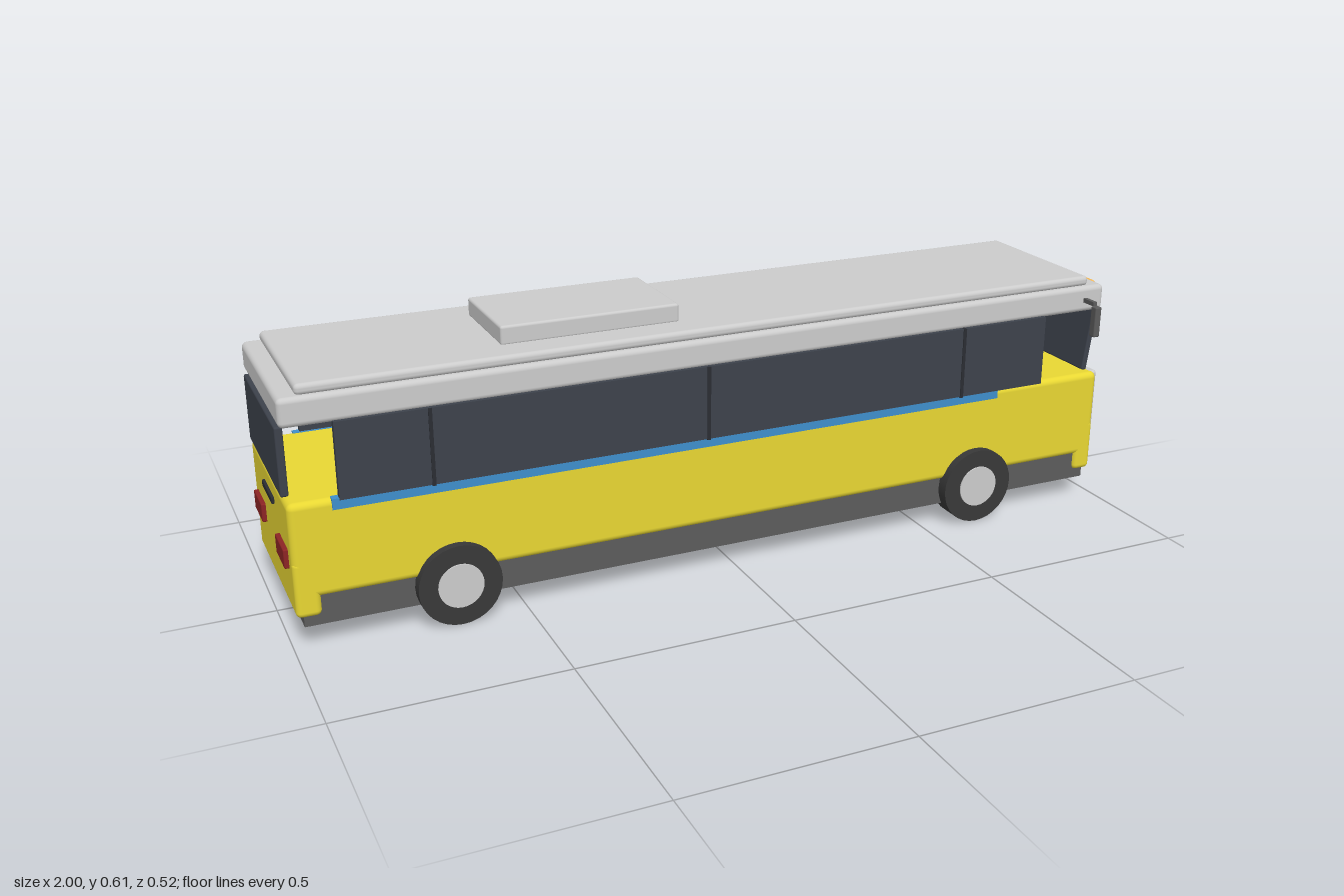
import * as THREE from 'three';
import { RoundedBoxGeometry } from 'three/addons/geometries/RoundedBoxGeometry.js';

const mat = (color) => new THREE.MeshStandardMaterial({ color });

export function createModel() {
  const bus = new THREE.Group();
  bus.name = 'bus';
  const grey = mat(0xcccccc), yellow = mat(0xe8d733), blue = mat(0x3f8fcc), orange = mat(0xf5b855);
  const glass = mat(0x3d424c), dark = mat(0x5c5c5c), rubber = mat(0x383838), red = mat(0x8c2424), black = mat(0x2a2d33);

  // Box given by its limits on each axis; r > 0 rounds the edges
  function box(name, material, [x0, x1], [y0, y1], [z0, z1], r = 0, parent = bus) {
    const s = [x1 - x0, y1 - y0, z1 - z0];
    const geo = r ? new RoundedBoxGeometry(...s, 3, r) : new THREE.BoxGeometry(...s);
    const mesh = new THREE.Mesh(geo, material);
    mesh.name = name;
    mesh.position.set((x0 + x1) / 2, (y0 + y1) / 2, (z0 + z1) / 2);
    parent.add(mesh);
    return mesh;
  }

  // Lower body: chassis, body shell and end bumpers
  box('chassis', dark, [-0.975, 0.968], [0.05, 0.125], [-0.196, 0.196]);
  box('bodyShell', yellow, [-0.99, 0.985], [0.115, 0.327], [-0.205, 0.205], 0.015);
  box('rearBumper', yellow, [-0.99, -0.937], [0.073, 0.2], [-0.205, 0.205], 0.012);
  box('frontBumper', yellow, [0.937, 0.985], [0.073, 0.2], [-0.205, 0.205], 0.012);
  box('frontPanel', grey, [0.965, 0.992], [0.112, 0.327], [-0.194, 0.194], 0.008);

  // Roof in stacked layers
  box('roof', grey, [-0.99, 0.982], [0.488, 0.551], [-0.204, 0.204], 0.012);
  box('roofCap', grey, [-0.952, 0.942], [0.549, 0.573], [-0.193, 0.193], 0.01);
  box('airConditioner', grey, [-0.507, -0.1], [0.57, 0.613], [-0.119, 0.119], 0.006);
  box('destinationSign', orange, [0.97, 0.997], [0.492, 0.545], [-0.149, 0.149], 0.004);

  // Leaning windscreen and upright rear window
  const screen = box('windscreen', glass, [0.968, 0.982], [0.326, 0.492], [-0.177, 0.177], 0.004);
  screen.rotation.z = -0.13;
  box('rearWindow', glass, [-0.995, -0.978], [0.335, 0.485], [-0.177, 0.177], 0.004);

  // Side windows, stripe and mirrors on both sides
  for (const side of [1, -1]) {
    const span = (a, b) => (side > 0 ? [a, b] : [-b, -a]);
    box('sideWindows', glass, [-0.885, 0.812], [0.324, 0.492], span(0.195, 0.211));
    const seams = side > 0 ? [-0.69, -0.07, 0.585] : [-0.69, -0.4, -0.07, 0.26];
    for (const x of seams) box('windowDivider', black, [x - 0.004, x + 0.004], [0.322, 0.492], span(0.2, 0.213));
    box('sideStripe', blue, [-0.9, 0.69], [0.304, 0.328], span(0.19, 0.2085));
    box('mirrorArm', dark, [0.923, 0.933], [0.513, 0.523], span(0.195, 0.243));
    box('mirror', dark, [0.919, 0.936], [0.44, 0.514], span(0.24, 0.259), 0.003);
    box('tailLight', red, [-1, -0.98], [0.175, 0.218], span(0.08, 0.17), 0.003);
  }
  box('rearHandle', black, [-0.996, -0.98], [0.273, 0.286], [-0.055, 0.055]);

  // Doors on the right-hand side, with a grey panel beside the middle one
  for (const [x0, x1] of [[0.35, 0.54], [-0.345, -0.152]]) {
    const door = new THREE.Group();
    door.name = 'door';
    bus.add(door);
    box('doorFrame', grey, [x0, x1], [0.1, 0.493], [-0.2135, -0.2], 0, door);
    box('doorGlass', glass, [x0 + 0.012, x1 - 0.012], [0.112, 0.481], [-0.218, -0.205], 0, door);
  }
  box('sidePanel', grey, [-0.445, 0.118], [0.165, 0.26], [-0.208, -0.2]);

  // Wheels
  const tyreGeo = new THREE.CylinderGeometry(0.0915, 0.0915, 0.055, 32).rotateX(Math.PI / 2);
  const hubGeo = new THREE.CylinderGeometry(0.05, 0.05, 0.059, 32).rotateX(Math.PI / 2);
  for (const x of [-0.65, 0.638]) {
    for (const side of [1, -1]) {
      const wheel = new THREE.Group();
      wheel.name = 'wheel';
      const tyre = new THREE.Mesh(tyreGeo, rubber);
      tyre.name = 'tyre';
      const hub = new THREE.Mesh(hubGeo, grey);
      hub.name = 'hub';
      hub.position.z = side * 0.0015;
      wheel.add(tyre, hub);
      wheel.position.set(x, 0.0915, side * 0.1975);
      bus.add(wheel);
    }
  }
  return bus;
}
